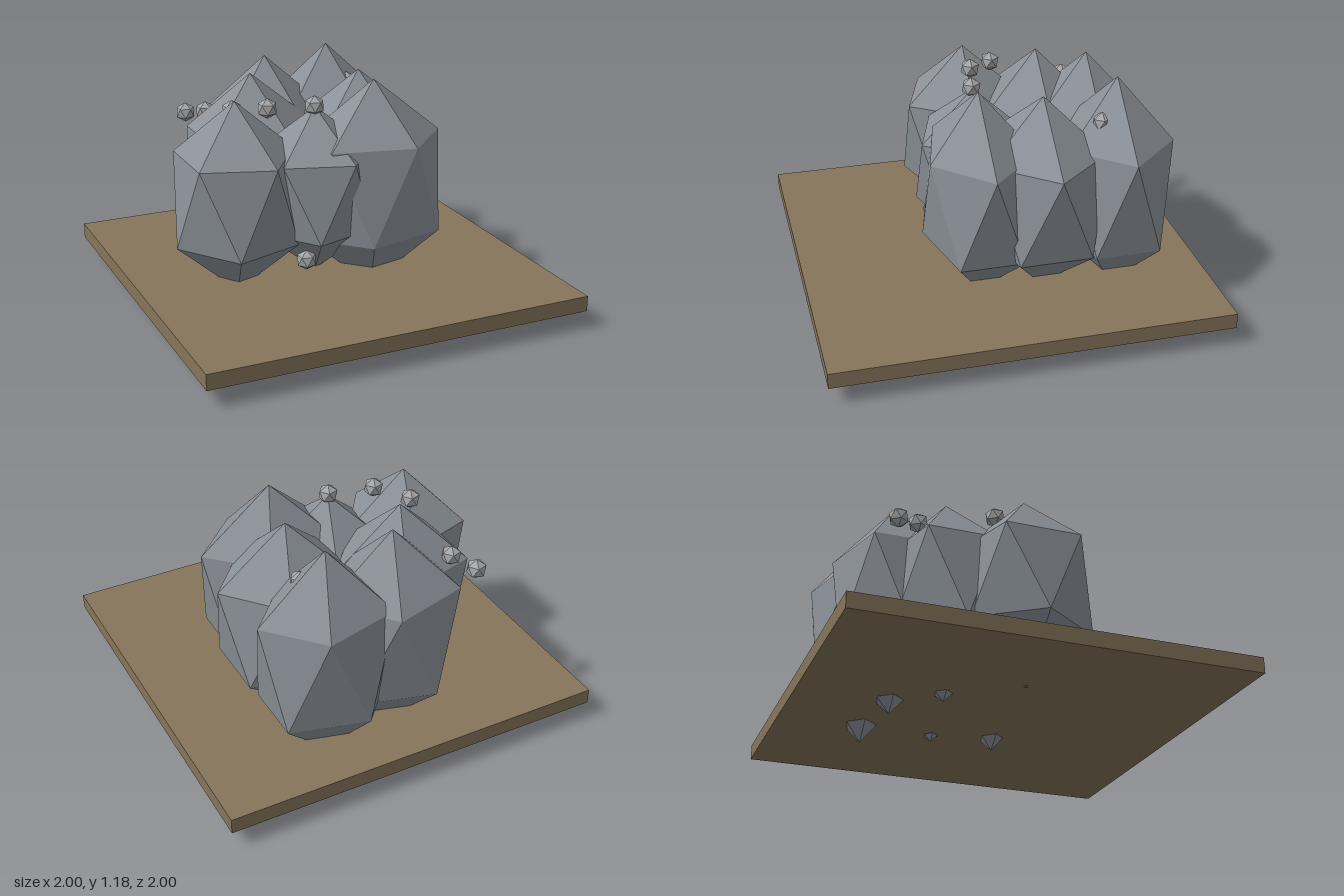
import * as THREE from 'three';

export function createModel() {
  const model = new THREE.Group();
  model.name = 'rockFormation';

  const earth = new THREE.MeshStandardMaterial({ name: 'earth brown', color: 0x85755a });
  const stone = new THREE.MeshStandardMaterial({ name: 'stone grey', color: 0x8b9198 });
  const pebble = new THREE.MeshStandardMaterial({ name: 'pebble grey', color: 0xa6a7aa });

  // Faceted stone: icosahedron standing on a corner, upper ring corner towards +x
  const facet = new THREE.IcosahedronGeometry(1, 0);
  facet.rotateZ(-Math.atan(2 / (1 + Math.sqrt(5))));
  const RING = 2 / Math.sqrt(5); // ring radius of the unit icosahedron

  function add(name, geometry, material, x, y, z, sx = 1, sy = 1, sz = 1) {
    const mesh = new THREE.Mesh(geometry, material);
    mesh.name = name;
    mesh.position.set(x, y, z);
    mesh.scale.set(sx, sy, sz);
    model.add(mesh);
  }

  // Ground slab
  add('groundSlab', new THREE.BoxGeometry(2, 0.08, 2), earth, 0, 0.14, 0);

  // Boulders: x, z, ring radius in x, ring radius in z, half height
  const boulders = [
    [0.25, 0.11, 0.38, 0.28, 0.56],
    [-0.47, 0.02, 0.32, 0.33, 0.505],
    [-0.055, 0.065, 0.305, 0.3, 0.44],
    [0.315, -0.2, 0.365, 0.315, 0.53],
    [0.3, -0.58, 0.35, 0.283, 0.588],
    [-0.08, -0.54, 0.35, 0.305, 0.568],
    [-0.25, -0.32, 0.36, 0.31, 0.54],
  ];
  boulders.forEach(([x, z, rx, rz, h], i) =>
    add(`boulder${i + 1}`, facet, stone, x, 0.595, z, rx / RING, h, rz / RING));

  // Pebbles: x, y, z
  const pebbles = [
    [-0.5, 0.87, -0.64],
    [-0.43, 0.9, -0.52],
    [-0.43, 1.01, -0.12],
    [-0.295, 1.04, 0.02],
    [-0.06, 1.04, 0.07],
    [-0.19, 0.3, 0.26],
    [0.38, 0.985, -0.48],
  ];
  pebbles.forEach(([x, y, z], i) =>
    add(`pebble${i + 1}`, facet, pebble, x, y, z, 0.053, 0.053, 0.053));

  return model;
}
